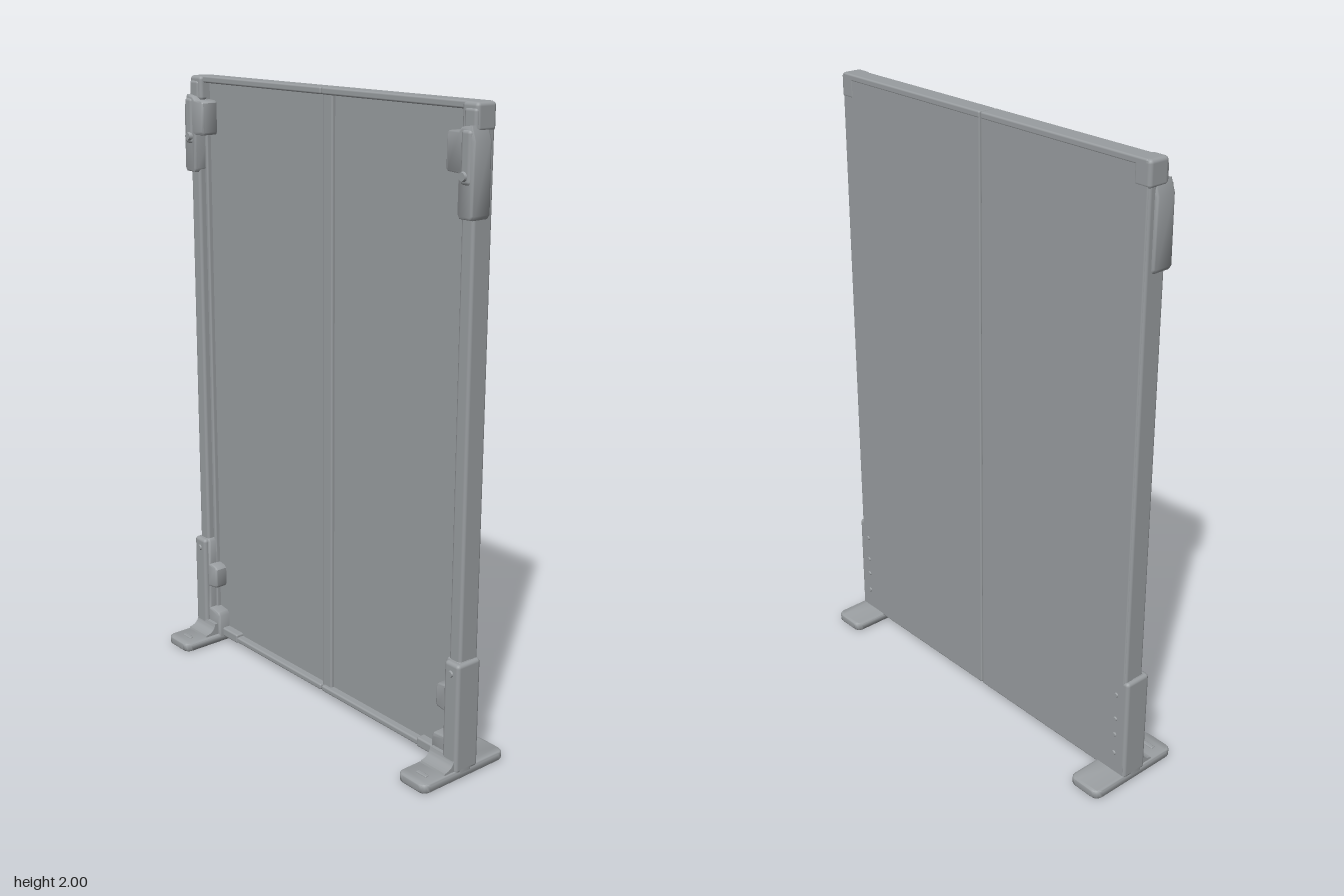
import * as THREE from 'three';
import { RoundedBoxGeometry } from 'three/addons/geometries/RoundedBoxGeometry.js';
import { toCreasedNormals } from 'three/addons/utils/BufferGeometryUtils.js';

const grey = new THREE.MeshStandardMaterial({ color: 0x999da0 });
grey.name = 'painted grey metal';

export function createModel() {
  const model = new THREE.Group();
  model.name = 'partitionScreen';

  const add = (name, geometry) => {
    const mesh = new THREE.Mesh(geometry, grey);
    mesh.name = name;
    model.add(mesh);
    return mesh;
  };

  // Rounded box given by its limits; x limits may come in either order
  const box = (name, x0, x1, y0, y1, z0, z1, r = 0.006) => {
    const g = new RoundedBoxGeometry(Math.abs(x1 - x0), y1 - y0, z1 - z0, 2, r);
    g.translate((x0 + x1) / 2, (y0 + y1) / 2, (z0 + z1) / 2);
    return add(name, g);
  };

  // Softly bevelled plate from an outline in x, y, mirrored by side
  const plate = (name, points, side, z0, z1, bevel = 0.008) => {
    const shape = new THREE.Shape(points.map(([x, y]) => new THREE.Vector2(x * side, y)));
    const g = new THREE.ExtrudeGeometry(shape, {
      depth: z1 - z0 - 2 * bevel, bevelThickness: bevel, bevelSize: bevel,
      bevelOffset: -bevel, bevelSegments: 3,
    });
    g.translate(0, 0, z0 + bevel);
    return add(name, toCreasedNormals(g, 0.8));
  };

  // Small round fastener with its axis along z
  const bolt = (name, x, y, z, r, depth) => {
    const g = new THREE.CylinderGeometry(r * 0.75, r, depth, 14);
    g.rotateX(z > 0 ? Math.PI / 2 : -Math.PI / 2);
    g.translate(x, y, z);
    add(name, g);
  };

  const upperBracket = [
    [0.672, 1.70], [0.664, 1.688], [0.618, 1.688], [0.61, 1.70], [0.61, 1.81],
    [0.57, 1.812], [0.564, 1.82], [0.564, 1.915], [0.572, 1.922], [0.61, 1.925],
    [0.62, 1.935], [0.656, 1.94], [0.67, 1.90],
  ];
  const lowerBracket = [
    [0.672, 0.02], [0.55, 0.02], [0.55, 0.10], [0.558, 0.112], [0.605, 0.118],
    [0.605, 0.20], [0.57, 0.205], [0.563, 0.215], [0.563, 0.275], [0.572, 0.283],
    [0.602, 0.288], [0.602, 0.372], [0.61, 0.382], [0.66, 0.382], [0.67, 0.365],
  ];

  // Central ridge covering the joint between the two leaves
  box('centreRidge', -0.008, 0.038, 0.03, 1.985, -0.045, -0.004);

  for (const s of [-1, 1]) {
    // Leaf: recessed sheet with forward lips and a side post
    box('panelSheet', s * 0.002, s * 0.655, 0.025, 1.998, -0.052, -0.016, 0.005);
    box('topLip', s * 0.002, s * 0.65, 1.978, 2.0, -0.053, 0.009);
    box('bottomLip', s * 0.002, s * 0.64, 0.022, 0.042, -0.052, 0.009);
    box('sidePost', s * 0.612, s * 0.66, 0.025, 1.985, -0.05, 0.024, 0.01);
    box('postInnerStep', s * 0.6, s * 0.63, 0.03, 1.98, -0.04, 0.0);

    // Top corner cap and clamp
    box('cornerCap', s * 0.60, s * 0.662, 1.92, 2.0, -0.053, 0.02, 0.012);
    plate('upperBracket', upperBracket, s, -0.03, 0.04);
    box('upperBracketRib', s * 0.622, s * 0.662, 1.78, 1.93, 0.0, 0.045, 0.012);
    bolt('upperBolt', s * 0.638, 1.805, 0.046, 0.016, 0.012);

    // Lower clamp
    plate('lowerBracket', lowerBracket, s, -0.025, 0.028);
    box('lowerBracketColumn', s * 0.61, s * 0.672, 0.02, 0.38, -0.052, 0.042, 0.012);
    bolt('lowerBolt', s * 0.64, 0.345, 0.043, 0.012, 0.008);
    box('bottomClip', s * 0.468, s * 0.56, 0.02, 0.052, -0.04, 0.012);

    // Fasteners on the back
    for (const y of [0.1, 0.17, 0.23, 0.32]) bolt('backRivet', s * 0.625, y, -0.053, 0.009, 0.007);

    // Floor foot: flat rounded plate laid along z
    const w = 0.06, l = 0.17, r = 0.028;
    const outline = new THREE.Shape();
    outline.moveTo(-w + r, -l);
    outline.lineTo(w - r, -l).quadraticCurveTo(w, -l, w, -l + r);
    outline.lineTo(w, l - r).quadraticCurveTo(w, l, w - r, l);
    outline.lineTo(-w + r, l).quadraticCurveTo(-w, l, -w, l - r);
    outline.lineTo(-w, -l + r).quadraticCurveTo(-w, -l, -w + r, -l);
    const foot = new THREE.ExtrudeGeometry(outline, {
      depth: 0.016, bevelThickness: 0.007, bevelSize: 0.007, bevelOffset: -0.007,
      bevelSegments: 3, curveSegments: 6,
    });
    foot.rotateX(-Math.PI / 2).translate(s * 0.611, 0.007, 0);
    add('foot', toCreasedNormals(foot, 0.8));

    // Curved web from the clamp down onto the foot
    const web = new THREE.Shape();
    web.moveTo(-0.052, 0.02);
    web.lineTo(0.085, 0.02).lineTo(0.078, 0.036);
    web.quadraticCurveTo(0.045, 0.04, 0.04, 0.07);
    web.lineTo(-0.052, 0.07);
    const webG = new THREE.ExtrudeGeometry(web, { depth: 0.104, bevelEnabled: false });
    webG.rotateY(-Math.PI / 2).translate(s * 0.612 + 0.052, 0, 0);
    add('footWeb', toCreasedNormals(webG, 0.8));

    // Raised slot pads on the front of the foot
    box('footSlot', s * 0.59, s * 0.635, 0.024, 0.034, 0.115, 0.13, 0.004);
  }
  return model;
}
